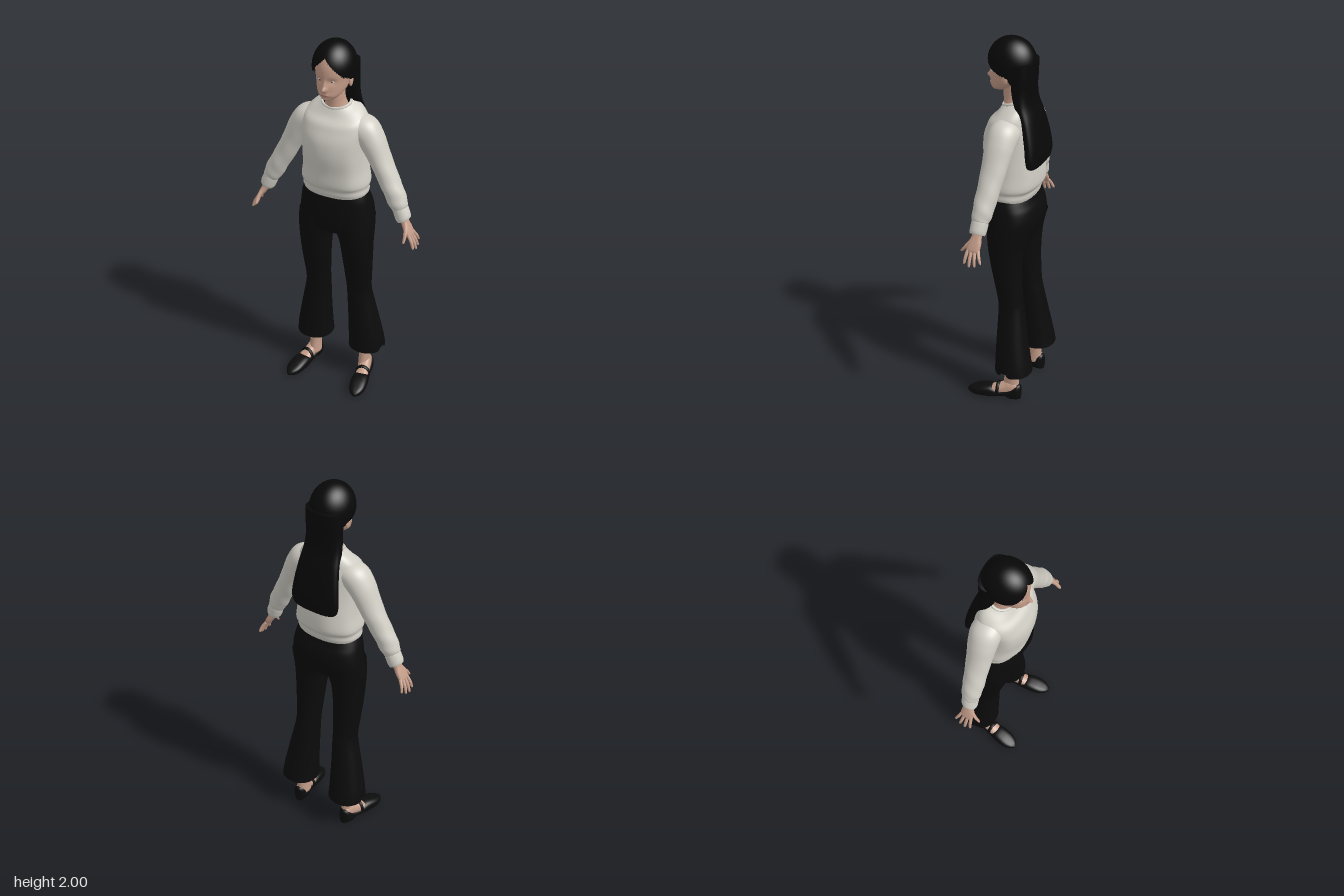
import * as THREE from 'three';

const mat = (name, color, side = THREE.FrontSide) => {
  const m = new THREE.MeshStandardMaterial({ color, side });
  m.name = name;
  return m;
};
const TAU = Math.PI * 2;
const gauss = (d, s) => Math.exp(-(d * d) / (2 * s * s));
const spow = (v, e) => Math.sign(v) * Math.pow(Math.abs(v), e);

// Smooth interpolation through rows of numbers
function smoothRows(rows, k) {
  const out = [], last = rows.length - 1;
  for (let i = 0; i < last; i++) {
    const p = [rows[Math.max(i - 1, 0)], rows[i], rows[i + 1], rows[Math.min(i + 2, last)]];
    for (let j = 0; j < k; j++) {
      const t = j / k;
      out.push(p[1].map((b, c) => {
        const a = p[0][c], d = p[2][c], e = p[3][c];
        return b + 0.5 * t * (d - a + t * (2 * a - 5 * b + 4 * d - e + t * (3 * (b - d) + e - a)));
      }));
    }
  }
  out.push(rows[last]);
  return out;
}

// Skin over oval rings [x, y, z, half width, half depth, tilt], mirrored by side s
function loft(rows, { n = 2, seg = 40, k = 5, s = 1, open = false, fold, shape } = {}) {
  const list = rows[0][1] > rows[rows.length - 1][1] ? [...rows].reverse() : rows;
  const rings = smoothRows(list, k), pos = [], idx = [];
  rings.forEach(([x, y, z, a, b, t], i) => {
    for (let j = 0; j < seg; j++) {
      const th = (j / seg) * TAU, f = fold ? 1 + fold(th, i / rings.length) : 1;
      const u = spow(Math.cos(th), 2 / n) * a * f, v = spow(Math.sin(th), 2 / n) * b * f;
      pos.push(s * x + u * Math.cos(t), y + s * u * Math.sin(t), z + v);
    }
  });
  const at = (i, j) => i * seg + (j % seg), top = rings.length - 1;
  for (let i = 0; i < top; i++) for (let j = 0; j < seg; j++)
    idx.push(at(i, j), at(i + 1, j), at(i, j + 1), at(i, j + 1), at(i + 1, j), at(i + 1, j + 1));
  if (!open) {
    [0, top].forEach((i, e) => {
      const c = pos.length / 3;
      pos.push(s * rings[i][0], rings[i][1], rings[i][2]);
      for (let j = 0; j < seg; j++)
        idx.push(c, at(i, e ? j + 1 : j), at(i, e ? j : j + 1));
    });
  }
  const g = new THREE.BufferGeometry();
  g.setAttribute('position', new THREE.Float32BufferAttribute(pos, 3));
  g.setIndex(idx);
  if (shape) {
    const p = g.attributes.position, v = new THREE.Vector3();
    for (let i = 0; i < p.count; i++) {
      shape(v.fromBufferAttribute(p, i));
      p.setXYZ(i, v.x, v.y, v.z);
    }
  }
  g.computeVertexNormals();
  return g;
}
// Level ring from height, half width, front z, back z
const level = (rows, cx = 0) => rows.map(([y, w, f, b, x = cx]) => [x, y, (f + b) / 2, w, (f - b) / 2, 0]);

export function createModel() {
  const root = new THREE.Group();
  root.name = 'woman';
  const skin = mat('skin', 0xc49c88), knit = mat('sweater', 0xd0cdc4, THREE.DoubleSide);
  const hair = mat('hair', 0x080808, THREE.DoubleSide), cloth = mat('trousers', 0x0b0b0b, THREE.DoubleSide);
  const leather = mat('shoe leather', 0x0d0c0c), lip = mat('lips', 0xa8786a);
  const eyeWhite = mat('eye white', 0xc8beb6), iris = mat('iris', 0x40302a);
  const add = (name, geo, m, parent = root) => {
    const mesh = new THREE.Mesh(geo, m);
    mesh.name = name;
    parent.add(mesh);
    return mesh;
  };
  const blob = (name, m, x, y, z, a, b, c) => {
    const mesh = add(name, new THREE.SphereGeometry(1, 20, 14), m);
    mesh.position.set(x, y, z);
    mesh.scale.set(a, b, c);
    return mesh;
  };

  // Head with nose, eye sockets and mouth pushed into the face
  add('head', loft(level([[1.722, .018, .1, .065], [1.73, .035, .109, .03], [1.75, .058, .114, -.01],
    [1.78, .074, .114, -.06], [1.82, .083, .113, -.095], [1.86, .088, .116, -.105], [1.9, .088, .112, -.105],
    [1.94, .078, .095, -.09], [1.97, .052, .06, -.06], [1.985, .01, .01, -.01]]), {
    seg: 120, k: 8,
    shape: (v) => {
      if (v.z < .05) return;
      const x = Math.abs(v.x);
      v.z += .02 * gauss(v.y - 1.786, .009) * gauss(x, .009) + .011 * gauss(v.y - 1.808, .016) * gauss(x, .008)
        - .008 * gauss(v.y - 1.825, .011) * gauss(x - .032, .014)
        + .005 * gauss(v.y - 1.757, .008) * gauss(x, .018) - .004 * gauss(v.y - 1.742, .005) * gauss(x, .02);
    },
  }), skin);
  add('neck', loft(level([[1.78, .047, .04, -.06], [1.72, .047, .048, -.06], [1.68, .052, .045, -.068],
    [1.62, .075, .045, -.08]])), skin);
  blob('lips', lip, 0, 1.757, .1155, .018, .006, .005);
  for (const s of [1, -1]) {
    blob('eye', eyeWhite, s * .032, 1.825, .0955, .012, .005, .005);
    blob('iris', iris, s * .032, 1.825, .0985, .004, .004, .003);
    blob('ear', skin, s * .088, 1.805, .005, .008, .026, .016).rotation.x = -.2;
  }

  // Hair cap, parted at the centre of the forehead
  const cap = new THREE.SphereGeometry(1, 80, 30), cp = cap.attributes.position;
  for (let i = 0; i < cp.count; i++) {
    const az = cap.attributes.uv.getX(i) * TAU;
    const al = Math.acos(THREE.MathUtils.clamp(Math.sin(az), -1, 1));
    const edge = 1.942 - .097 * Math.min(1, al / .9) - .025 * THREE.MathUtils.smoothstep(al, .9, 1.5)
      - .06 * THREE.MathUtils.smoothstep(al, 1.55, 1.9);
    const ph = (1 - cap.attributes.uv.getY(i)) * Math.acos((edge - 1.875) / .125);
    cp.setXYZ(i, -.107 * Math.cos(az) * Math.sin(ph), 1.875 + .125 * Math.cos(ph), .004 + .123 * Math.sin(az) * Math.sin(ph));
  }
  cap.computeVertexNormals();
  add('hairCap', cap, hair);
  add('longHair', loft(level([[1.89, .098, 0, -.119], [1.82, .099, -.008, -.117], [1.75, .099, -.012, -.112],
    [1.68, .105, -.03, -.117], [1.6, .115, -.07, -.142], [1.5, .129, -.095, -.166], [1.42, .137, -.105, -.176],
    [1.375, .125, -.112, -.172], [1.358, .09, -.125, -.16]]), { n: 2.5, seg: 60 }), hair);

  // Sweater body with soft folds and a dipped neckline
  const dip = (v) => { v.y -= .35 * (v.z + .02) * THREE.MathUtils.smoothstep(v.y, 1.57, 1.67); };
  add('sweaterBody', loft(level([[1.178, .168, .092, -.125], [1.2, .174, .1, -.132], [1.225, .172, .104, -.136],
    [1.255, .178, .119, -.155], [1.33, .167, .125, -.155], [1.42, .163, .138, -.146], [1.5, .165, .134, -.138],
    [1.56, .17, .112, -.128], [1.61, .16, .09, -.115], [1.645, .128, .066, -.1], [1.668, .09, .052, -.085],
    [1.678, .074, .045, -.078]]), {
    n: 2.35, seg: 80, open: true, shape: dip,
    fold: (th, t) => .012 * Math.sin(7 * th + 6 * t) * Math.sin(Math.PI * Math.min(1, t * 1.4)),
  }), knit);
  const collar = add('collar', new THREE.TorusGeometry(1, .1, 10, 48), knit);
  collar.scale.set(.074, .063, .075);
  collar.rotation.x = Math.PI / 2 + .33;
  collar.position.set(0, 1.677, -.017);

  // Trouser seat
  add('trouserSeat', loft(level([[1.2, .168, .09, -.12], [1.16, .182, .095, -.135], [1.12, .191, .096, -.15],
    [1.06, .2, .095, -.155], [1.0, .204, .09, -.14], [.965, .185, .08, -.12], [.95, .12, .05, -.08]]),
  { n: 2.3, seg: 60 }), cloth);

  for (const s of [1, -1]) {
    const side = s > 0 ? 'left' : 'right';

    // Flared trouser leg with a small notch at the outer hem
    add(side + 'TrouserLeg', loft(level([[1.04, .094, .088, -.14, .108], [.97, .1, .086, -.122, .106],
      [.9, .087, .078, -.108, .116], [.8, .08, .06, -.1, .12], [.7, .073, .04, -.101, .121],
      [.6, .066, .022, -.108, .121], [.54, .067, .019, -.118, .124], [.4, .08, .02, -.14, .14],
      [.26, .094, .021, -.164, .154], [.19, .099, .021, -.176, .157]]), {
      s, n: 2.15, seg: 64, open: true,
      shape: (v) => { if (v.y < .2 && v.x * s > .2) v.y += .035 * gauss(v.z + .06, .012); },
    }), cloth);

    // Sleeve and cuff
    add(side + 'Sleeve', loft([[.085, 1.578, -.02, .06, .07, 1.1], [.15, 1.553, -.02, .072, .078, .85],
      [.195, 1.5, -.017, .066, .074, .6], [.237, 1.42, -.013, .056, .066, .5], [.28, 1.335, -.007, .053, .059, .5],
      [.32, 1.262, 0, .051, .055, .5], [.349, 1.205, .004, .05, .05, .5], [.366, 1.172, .007, .041, .043, .5]], {
      s, seg: 48, k: 8,
      fold: (th, t) => .035 * Math.sin(th * 2 + (1 - t) * 34) * Math.max(0, .75 - t) + .012 * Math.sin(3 * th + 9 * t),
    }), knit);
    add(side + 'Cuff', loft([[.362, 1.178, .007, .036, .04, .5], [.366, 1.168, .007, .04, .043, .5],
      [.383, 1.128, .01, .041, .042, .5], [.39, 1.112, .011, .036, .038, .5]], { s }), knit);

    // Hand
    add(side + 'Palm', loft([[.38, 1.13, .01, .02, .024, .5], [.396, 1.1, .012, .018, .026, .5],
      [.413, 1.07, .016, .016, .035, .5], [.43, 1.04, .017, .012, .034, .5], [.434, 1.03, .017, .006, .028, .5]],
    { s, n: 2.4, seg: 24 }), skin);
    const digit = (name, [x, y, z], [X, Y, Z], r) => add(name, loft([[x, y, z, r, r, .5],
      [(x + X) / 2 + .004, (y + Y) / 2, (z + Z) / 2, r * .95, r * .95, .5],
      [x + (X - x) * .9, y + (Y - y) * .9, z + (Z - z) * .9, r * .75, r * .75, .5],
      [X, Y, Z, r * .2, r * .2, .5]], { s, seg: 14 }), skin);
    [.078, .09, .084, .066].forEach((len, i) => digit(side + 'Finger',
      [.427, 1.047, .042 - .0175 * i], [.427 + .45 * len, 1.047 - .92 * len, .052 - .029 * i], .0088));
    digit(side + 'Thumb', [.405, 1.09, .03], [.422, 1.018, .085], .011);

    // Ankle
    add(side + 'Ankle', loft(level([[.34, .042, -.01, -.115], [.2, .033, -.018, -.105], [.12, .03, -.02, -.102],
      [.05, .032, -.01, -.108]], .152), { s, seg: 24 }), skin);

    // Strapped flat shoe, shaped along its length and turned outward
    const foot = new THREE.Group();
    foot.name = side + 'Foot';
    foot.position.set(s * .152, 0, -.117);
    foot.rotation.y = s * .17;
    root.add(foot);
    const along = (name, rows, m, n) => {
      add(name, loft(level(rows.map(([l, w, lo, hi]) => [l, w, -lo, -hi])), { n, seg: 36 }), m, foot).rotation.x = Math.PI / 2;
    };
    along('shoe', [[.002, .018, .002, .086], [.02, .033, 0, .092], [.055, .036, 0, .066], [.085, .036, .016, .052],
      [.12, .038, .008, .05], [.165, .044, 0, .066], [.21, .046, 0, .062], [.25, .041, 0, .05],
      [.28, .026, .004, .037], [.296, .008, .01, .024]], leather, 2.7);
    along('instep', [[.02, .025, .02, .1], [.06, .029, .02, .112], [.09, .031, .02, .097], [.13, .034, .02, .078],
      [.17, .034, .02, .06], [.2, .02, .02, .045]], skin, 2.2);
    const strap = add('strap', new THREE.TorusGeometry(.037, .006, 8, 24, Math.PI), leather, foot);
    strap.scale.set(1, 1.25, 1.6);
    strap.position.set(0, .04, .125);
  }
  return root;
}
